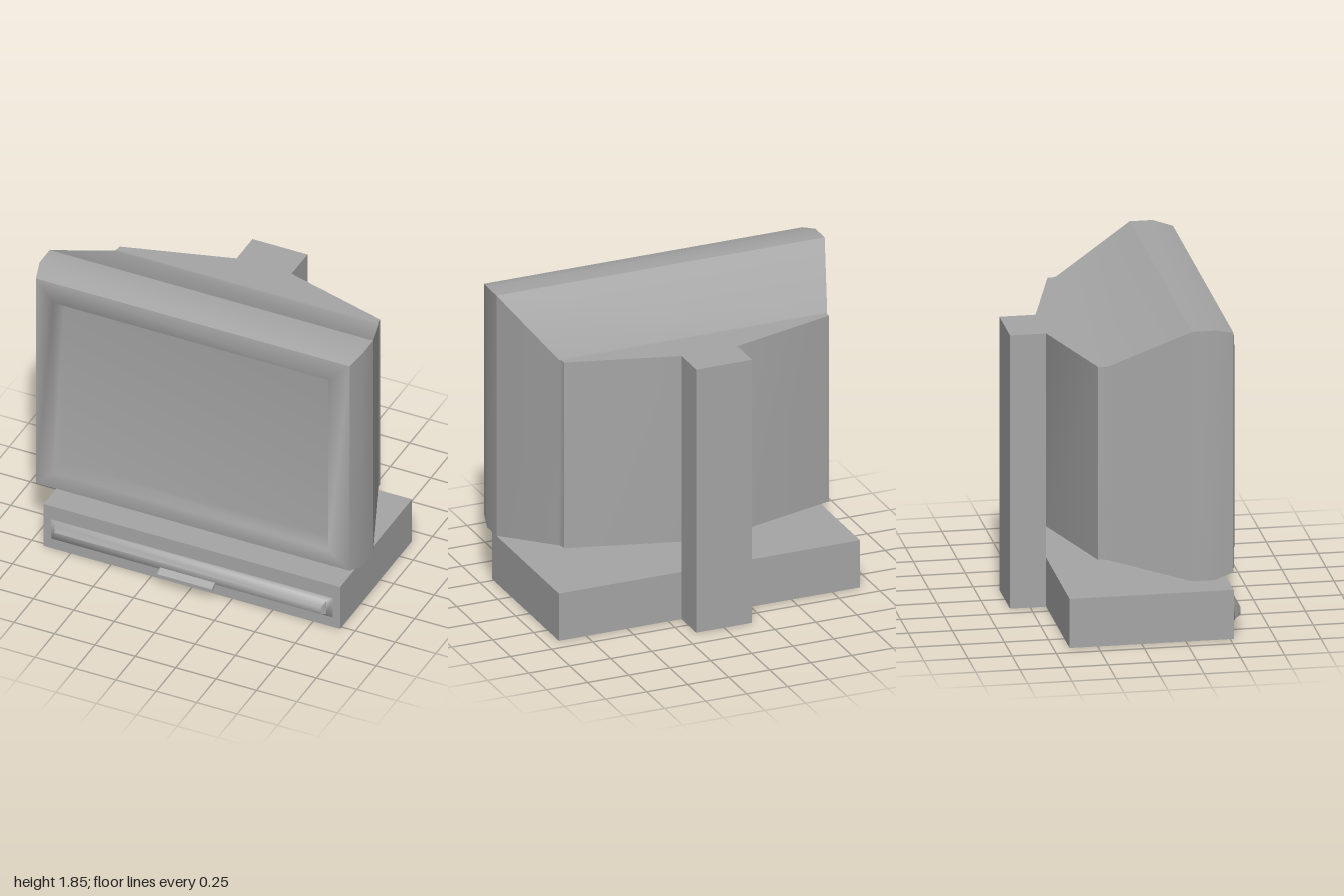
import * as THREE from 'three';
import { mergeVertices, toCreasedNormals } from 'three/addons/utils/BufferGeometryUtils.js';

// Rectangular sections [z, halfWidth, bottom, top] joined in order
function loft(sections, frontCap, backCap) {
  const rings = sections.map(([z, w, y0, y1]) => [[-w, y0, z], [w, y0, z], [w, y1, z], [-w, y1, z]]);
  const pos = [];
  const quad = (a, b, c, d) => pos.push(...a, ...b, ...c, ...a, ...c, ...d);
  for (let s = 0; s < rings.length - 1; s++) {
    const f = rings[s], b = rings[s + 1];
    for (let i = 0; i < 4; i++) {
      const j = (i + 1) % 4;
      quad(f[i], b[i], b[j], f[j]);
    }
  }
  if (frontCap) quad(...rings[0]);
  if (backCap) quad(...[...rings[rings.length - 1]].reverse());
  const g = new THREE.BufferGeometry();
  g.setAttribute('position', new THREE.Float32BufferAttribute(pos, 3));
  return g;
}

// Fully blended normals
function smooth(geometry) {
  const g = mergeVertices(geometry);
  g.computeVertexNormals();
  return g;
}

// Box given by its limits on each axis
function block(x0, x1, y0, y1, z0, z1) {
  return new THREE.BoxGeometry(x1 - x0, y1 - y0, z1 - z0)
    .translate((x0 + x1) / 2, (y0 + y1) / 2, (z0 + z1) / 2);
}

export function createModel() {
  const model = new THREE.Group();
  model.name = 'desktopMonitor';
  const grey = new THREE.MeshStandardMaterial({ color: 0xa6a6a6 });
  grey.name = 'grey plastic';
  const add = (name, geometry) => {
    const mesh = new THREE.Mesh(geometry, grey);
    mesh.name = name;
    model.add(mesh);
  };

  // Sunken screen blending into its bevelled frame
  add('screen', smooth(loft([
    [0.45, 0.82, 0.56, 1.67],
    [0.535, 0.85, 0.53, 1.70],
    [0.51, 0.97, 0.41, 1.815],
  ], true, false)));

  // Rim around the frame
  add('rim', toCreasedNormals(loft([
    [0.51, 0.97, 0.41, 1.815],
    [0.40, 1.0, 0.38, 1.845],
    [0.27, 1.0, 0.38, 1.845],
  ], false, false), 0.6));

  // Tapered rear housing
  add('rearHousing', toCreasedNormals(loft([
    [0.27, 1.0, 0.38, 1.845],
    [-0.18, 0.818, 0.472, 1.605],
    [-0.2, 0.808, 0.472, 1.605],
    [-0.23, 0.806, 0.472, 1.605],
    [-0.41, 0.17, 0.472, 1.605],
  ], false, true), 0.5));

  // Stand
  add('post', block(-0.17, 0.17, 0, 1.605, -0.615, -0.41));
  add('base', block(-0.917, 0.917, 0, 0.288, -0.41, 0.52));

  // Raised moulding across the front of the base
  add('frontMoulding', toCreasedNormals(loft([
    [0.575, 0.825, 0.11, 0.155],
    [0.54, 0.84, 0.09, 0.18],
    [0.52, 0.87, 0.065, 0.197],
  ], true, false), 1.2));

  // Small sloping pull tab
  const tab = new THREE.Shape([[0.565, 0.105], [0.615, 0.083], [0.615, 0.1], [0.565, 0.126]]
    .map(([z, y]) => new THREE.Vector2(-z, y)));
  add('pullTab', new THREE.ExtrudeGeometry(tab, { depth: 0.34, bevelEnabled: false })
    .translate(0, 0, -0.17).rotateY(Math.PI / 2));

  return model;
}
